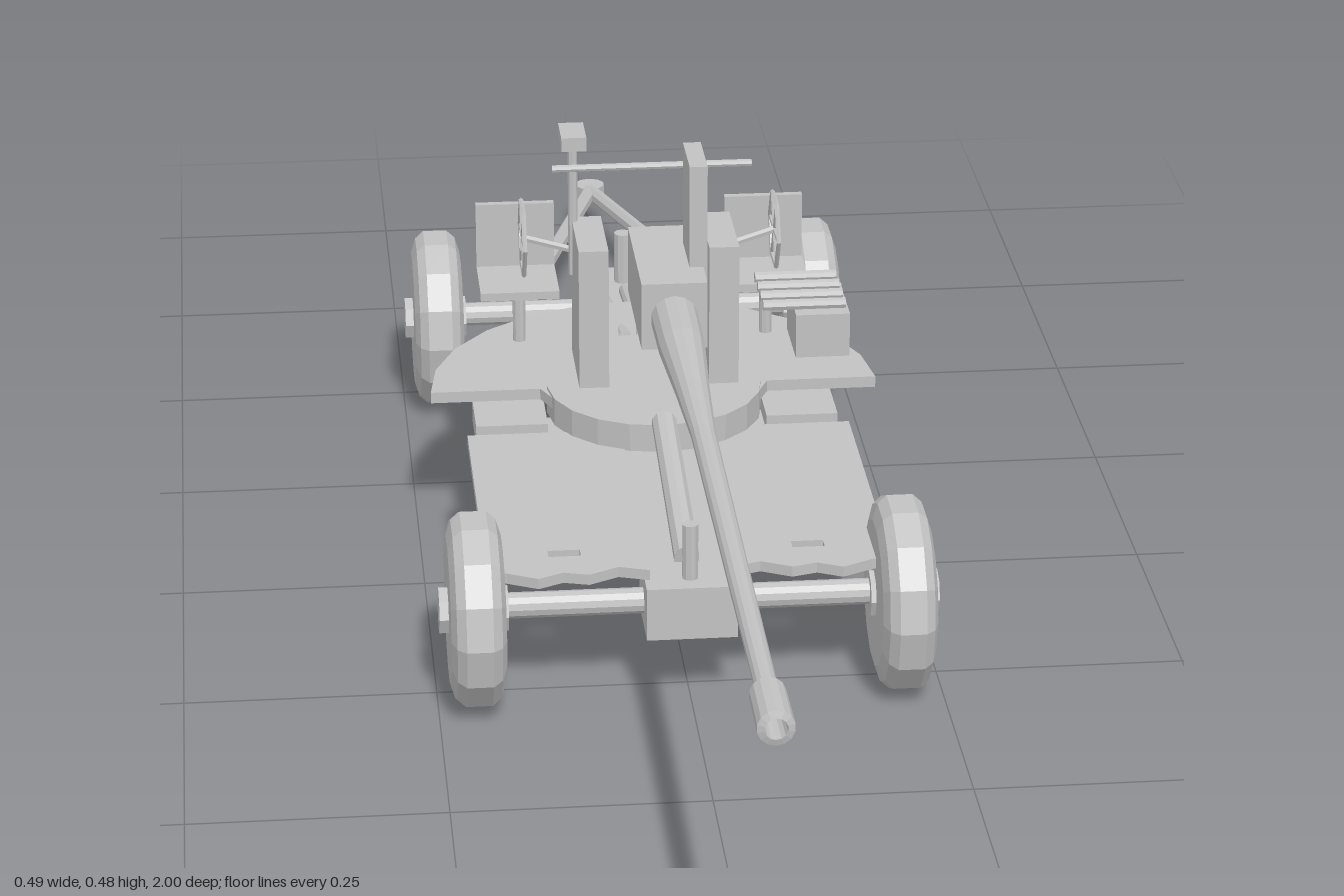
import * as THREE from 'three';

const gunGrey = new THREE.MeshStandardMaterial({ color: 0xc2c2c2 });
gunGrey.name = 'gunGrey';
gunGrey.flatShading = true;

export function createModel() {
  const model = new THREE.Group();
  model.name = 'towedFieldGun';

  const add = (name, geo, x = 0, y = 0, z = 0) => {
    const m = new THREE.Mesh(geo, gunGrey);
    m.name = name;
    m.position.set(x, y, z);
    model.add(m);
    return m;
  };
  // Box given by its limits on each axis
  const box = (name, x0, x1, y0, y1, z0, z1) =>
    add(name, new THREE.BoxGeometry(Math.abs(x1 - x0), y1 - y0, Math.abs(z1 - z0)),
      (x0 + x1) / 2, (y0 + y1) / 2, (z0 + z1) / 2);
  // Round bar between two points
  const rod = (name, a, b, r, sides = 10) => {
    const p = new THREE.Vector3(...a), q = new THREE.Vector3(...b);
    const m = add(name, new THREE.CylinderGeometry(r, r, p.distanceTo(q), sides));
    m.position.copy(p).lerp(q, 0.5);
    m.quaternion.setFromUnitVectors(new THREE.Vector3(0, 1, 0), q.sub(p).normalize());
    return m;
  };
  const lathe = (pts, sides) =>
    new THREE.LatheGeometry(pts.map(([r, h]) => new THREE.Vector2(r, h)), sides);
  // Horizontal plate from [x, z] corners, with optional rectangular slots
  const plate = (name, corners, y0, y1, slots = []) => {
    const s = new THREE.Shape(corners.map(([x, z]) => new THREE.Vector2(x, -z)));
    for (const [x0, x1, z0, z1] of slots)
      s.holes.push(new THREE.Path([[x0, z0], [x1, z0], [x1, z1], [x0, z1]]
        .map(([x, z]) => new THREE.Vector2(x, -z))));
    const g = new THREE.ExtrudeGeometry(s, { depth: y1 - y0, bevelEnabled: false });
    return add(name, g.rotateX(-Math.PI / 2), 0, y0, 0);
  };

  // Wheels, hubs and axles
  const tyre = lathe([[0, -0.027], [0.074, -0.027], [0.09, -0.022], [0.098, -0.013],
    [0.098, 0.013], [0.09, 0.022], [0.074, 0.027], [0, 0.027]], 14).rotateZ(-Math.PI / 2);
  const hub = new THREE.CylinderGeometry(0.024, 0.024, 0.068, 8).rotateZ(Math.PI / 2);
  for (const z of [0.26, -0.49]) {
    rod('axle', [-0.19, 0.1, z], [0.19, 0.1, z], 0.013, 12);
    for (const s of [-1, 1]) {
      add('wheel', tyre, s * 0.211, 0.098, z);
      add('wheelHub', hub, s * 0.213, 0.098, z);
    }
  }

  // Chassis beam with end boxes
  box('chassisBeam', -0.04, 0.04, 0.088, 0.13, -0.47, 0.23);
  box('frontAxleBox', -0.045, 0.045, 0.075, 0.13, 0.22, 0.3);
  box('rearAxleBox', -0.045, 0.045, 0.075, 0.13, -0.54, -0.46);
  box('rearCrossPiece', -0.067, 0.067, 0.073, 0.08, -0.51, -0.47);
  rod('frontPost', [0, 0.13, 0.275], [0, 0.188, 0.275], 0.008);
  rod('frontStay', [0, 0.135, 0.24], [0, 0.176, 0], 0.013);
  for (const x of [-0.031, 0, 0.031]) {
    rod('rearPost', [x, 0.13, -0.5], [x, 0.188, -0.5], 0.01);
    rod('rearStay', [x, 0.135, -0.46], [x * 0.6, 0.165, -0.25], 0.008);
  }

  // Front decks, side steps and underframe
  for (const s of [-1, 1]) {
    plate('deck', [[0.04, -0.06], [0.2, -0.06], [0.2, 0.27], [0.18, 0.275], [0.15, 0.29],
      [0.125, 0.278], [0.1, 0.285], [0.07, 0.27], [0.04, 0.28]].map(([x, z]) => [s * x, z]),
      0.131, 0.142, [[s * 0.105, s * 0.137, 0.227, 0.241]]);
    box('sideStep', s * 0.115, s * 0.19, 0.12, 0.145, -0.15, -0.075);
    box('crossArm', s * 0.03, s * 0.18, 0.113, 0.128, -0.13, -0.09);
  }

  // Rotating platform and turntable
  const arc = [];
  for (let i = 0; i <= 12; i++) {
    const a = Math.PI * i / 12;
    arc.push([0.235 * Math.cos(a), -0.115 - 0.232 * Math.sin(a)]);
  }
  plate('platform', [...arc, [-0.12, -0.115], [-0.1, -0.07], [0.1, -0.07], [0.12, -0.115]],
    0.156, 0.168);
  add('turntable', new THREE.CylinderGeometry(0.113, 0.113, 0.03, 20), 0, 0.156, -0.115);

  // Cradle cheeks, seats and handwheels, mirrored
  for (const s of [-1, 1]) {
    box('cradleCheek', s * 0.052, s * 0.083, 0.193, 0.345, -0.155, -0.055);
    rod('seatPost', [s * 0.133, 0.168, -0.25], [s * 0.133, 0.232, -0.25], 0.007);
    box('seat', s * 0.092, s * 0.176, 0.23, 0.239, -0.295, -0.21);
    box('seatBack', s * 0.092, s * 0.176, 0.235, 0.31, -0.295, -0.287);
    rod('handwheelShaft', [s * 0.075, 0.308, -0.15], [s * 0.133, 0.316, -0.174], 0.004, 6);
    add('handwheel', new THREE.TorusGeometry(0.04, 0.0025, 5, 6).rotateY(Math.PI / 2),
      s * 0.133, 0.316, -0.174);
    for (let i = 0; i < 3; i++) {
      const a = Math.PI * i / 3, c = 0.038 * Math.cos(a), d = 0.038 * Math.sin(a);
      rod('handwheelSpoke', [s * 0.133, 0.316 - d, -0.174 - c],
        [s * 0.133, 0.316 + d, -0.174 + c], 0.002, 5);
    }
  }

  // Breech, magazine and hollow tapering barrel
  box('breech', -0.033, 0.033, 0.305, 0.375, -0.045, 0.112);
  box('magazine', 0.019, 0.037, 0.355, 0.482, 0, 0.07);
  add('barrel', lathe([[0, 0.1], [0.024, 0.1], [0.023, 0.19], [0.0165, 0.3], [0.012, 0.4],
    [0.01, 0.93], [0.016, 0.935], [0.0165, 0.998], [0.01, 1], [0.009, 0.94], [0, 0.94]], 14)
    .rotateX(Math.PI / 2), 0, 0.338, 0);

  // Sight post and crossbar
  rod('sightPost', [-0.082, 0.285, -0.145], [-0.082, 0.43, -0.145], 0.005, 8);
  box('sightHead', -0.095, -0.069, 0.43, 0.445, -0.168, -0.122);
  rod('sightCrossbar', [-0.104, 0.406, -0.137], [0.104, 0.406, -0.137], 0.004, 8);

  // Ammunition rack
  box('ammunitionBox', 0.15, 0.207, 0.193, 0.241, -0.195, -0.115);
  for (let i = 0; i < 4; i++) {
    const z = -0.117 - i * 0.026;
    rod('ammunitionRound', [0.115, 0.253, z], [0.202, 0.253, z], 0.006, 8);
  }

  // Towing frame and eye
  for (const s of [-1, 1])
    rod('towBar', [s * 0.12, 0.102, -0.49], [0, 0.055, -0.975], 0.009, 8);
  add('towEye', new THREE.CylinderGeometry(0.018, 0.018, 0.016, 10), 0, 0.054, -0.982);

  // Mirrored plates need visible inner walls
  gunGrey.side = THREE.DoubleSide;
  return model;
}
